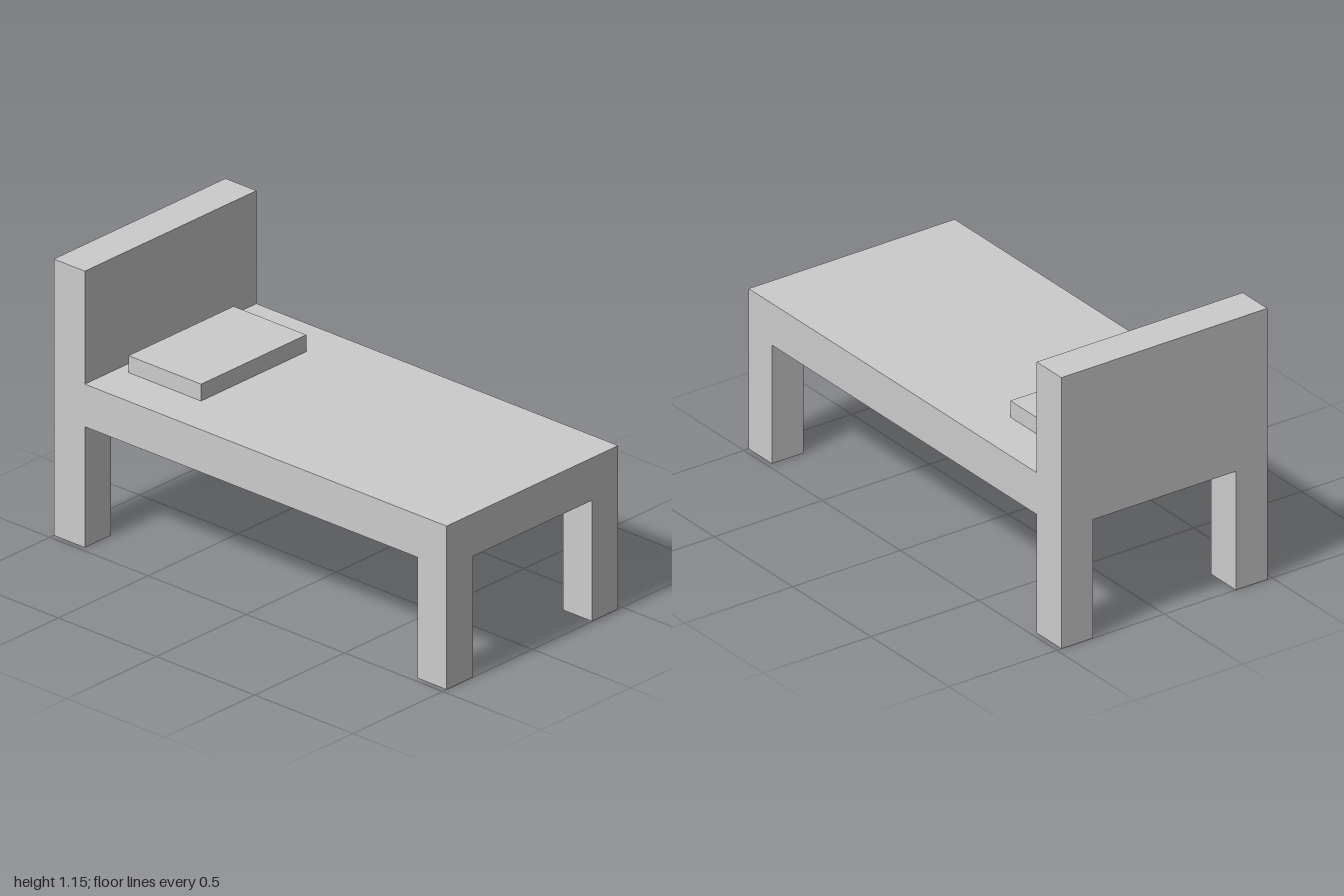
import * as THREE from 'three';

const material = new THREE.MeshStandardMaterial({ color: 0xcccccc, flatShading: true });

// Box given by its [min, max] extent along each axis
function block(name, [x0, x1], [y0, y1], [z0, z1]) {
  const mesh = new THREE.Mesh(new THREE.BoxGeometry(x1 - x0, y1 - y0, z1 - z0), material);
  mesh.position.set((x0 + x1) / 2, (y0 + y1) / 2, (z0 + z1) / 2);
  mesh.name = name;
  return mesh;
}

export function createModel() {
  const group = new THREE.Group();
  group.name = 'bed';

  const halfWidth = 0.478;
  const legInner = 0.332;
  const underside = 0.503;
  const top = 0.68;
  const headInner = -0.842;
  const width = [-halfWidth, halfWidth];

  // Mattress slab, headboard and pillow
  group.add(
    block('mattress', [headInner, 1], [underside, top], width),
    block('headboard', [-1, headInner], [underside, 1.15], width),
    block('pillow', [-0.79, -0.42], [top, 0.75], [-0.294, 0.292]),
  );

  // Four legs, flush with the outer corners
  for (const [side, z] of [['Front', [legInner, halfWidth]], ['Back', [-halfWidth, -legInner]]]) {
    group.add(
      block(`headLeg${side}`, [-1, headInner], [0, underside], z),
      block(`footLeg${side}`, [0.852, 1], [0, underside], z),
    );
  }

  return group;
}
